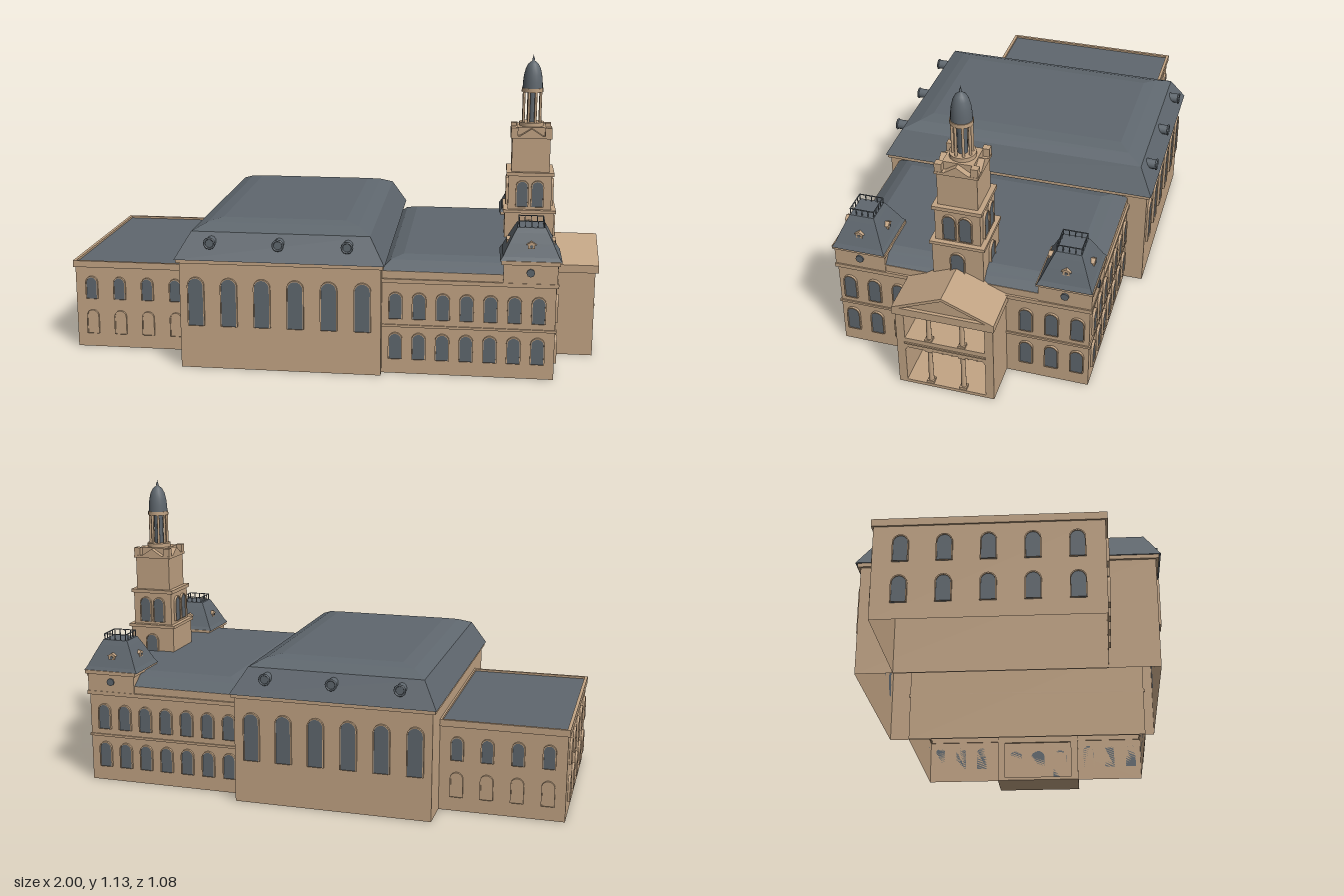
import * as THREE from 'three';

export function createModel() {
  const root = new THREE.Group();
  const sand = new THREE.MeshStandardMaterial({ color: 0xc2a484, side: THREE.DoubleSide });
  sand.name = 'sandstone';
  const slate = new THREE.MeshStandardMaterial({ color: 0x5f676e, side: THREE.DoubleSide });
  slate.name = 'slate';

  const add = (name, geo, mat, x = 0, y = 0, z = 0, ry = 0, parent = root) => {
    const m = new THREE.Mesh(geo, mat);
    m.name = name;
    m.position.set(x, y, z);
    m.rotation.y = ry;
    parent.add(m);
    return m;
  };
  // Solid box from its limits
  const box = (name, x0, x1, y0, y1, z0, z1, mat = sand) =>
    add(name, new THREE.BoxGeometry(x1 - x0, y1 - y0, z1 - z0), mat, (x0 + x1) / 2, (y0 + y1) / 2, (z0 + z1) / 2);
  // Walls with a ceiling and no floor
  const walls = (name, ...lim) => {
    const m = box(name, ...lim), g = m.geometry;
    g.setIndex([...g.index.array].filter((_, i) => i < 18 || i >= 24));
    g.clearGroups();
  };
  const poly = (pts) => new THREE.Shape(pts.map((p) => new THREE.Vector2(...p)));
  const rect = (x0, x1, y0, y1) => [[x0, y0], [x1, y0], [x1, y1], [x0, y1]];
  const extrude = (shape, depth) => new THREE.ExtrudeGeometry(shape, { depth, bevelEnabled: false, curveSegments: 6 });
  // Rectangular ring running round a wall
  const rim = (name, x0, x1, y0, y1, z0, z1, t) => {
    const s = poly(rect(x0, x1, -z1, -z0));
    s.holes.push(poly(rect(x0 + t, x1 - t, -z1 + t, -z0 - t)));
    add(name, extrude(s, y1 - y0).rotateX(-Math.PI / 2), sand, 0, y0);
  };
  // Hipped roof lofted through rectangles [y, x0, x1, z0, z1]
  const roof = (name, levels, mat = slate) => {
    const pos = [], idx = [];
    for (const [y, a, b, c, d] of levels) pos.push(a, y, d, b, y, d, b, y, c, a, y, c);
    for (let l = 0; l < levels.length - 1; l++)
      for (let i = 0; i < 4; i++) {
        const p = l * 4 + i, q = l * 4 + (i + 1) % 4;
        idx.push(p, q, q + 4, p, q + 4, p + 4);
      }
    const t = (levels.length - 1) * 4;
    idx.push(t, t + 1, t + 2, t, t + 2, t + 3, 0, 2, 1, 0, 3, 2);
    let g = new THREE.BufferGeometry();
    g.setAttribute('position', new THREE.Float32BufferAttribute(pos, 3));
    g.setIndex(idx);
    g = g.toNonIndexed();
    g.computeVertexNormals();
    return add(name, g, mat);
  };

  // Round-headed windows: ry turns them to face out of the wall
  const FRONT = 0, BACK = Math.PI, LEFT = Math.PI / 2, RIGHT = -Math.PI / 2;
  const arch = (w, h, C = THREE.Shape) => {
    const s = new C(), r = w / 2;
    s.moveTo(-r, 0);
    s.lineTo(r, 0);
    s.lineTo(r, h - r);
    s.absarc(0, h - r, r, 0, Math.PI, false);
    s.lineTo(-r, 0);
    return s;
  };
  const win = (x, y, z, ry, w, h, pane = slate) => {
    const g = new THREE.Group();
    g.name = 'window';
    g.position.set(x, y, z);
    g.rotation.y = ry;
    add('windowPane', extrude(arch(w, h), 0.005), pane, 0, 0, 0, 0, g);
    const ring = arch(w + 0.008, h + 0.004);
    ring.holes.push(arch(w, h, THREE.Path));
    add('windowFrame', extrude(ring, 0.009), sand, 0, 0, 0, 0, g);
    root.add(g);
  };
  const bothSides = (f) => { f(1); f(-1); };

  // Rear wing
  walls('rearWing', -0.993, -0.53, 0, 0.33, -0.39, 0.345);
  box('rearWingRoof', -0.99, -0.53, 0.33, 0.337, -0.385, 0.34, slate);
  rim('rearParapet', -1, -0.53, 0.32, 0.345, -0.397, 0.352, 0.012);
  for (let i = 0; i < 4; i++) {
    const x = -0.93 + i * 0.11;
    for (const [z, ry] of [[0.345, FRONT], [-0.39, BACK]]) {
      win(x, 0.195, z, ry, 0.04, 0.085);
      win(x, 0.055, z, ry, 0.04, 0.09, sand);
    }
  }
  for (let i = 0; i < 5; i++)
    for (const y of [0.055, 0.195]) win(-0.993, y, -0.3 + i * 0.139, RIGHT, 0.045, 0.088);

  // Great hall
  walls('hall', -0.535, 0.207, 0, 0.41, -0.522, 0.522);
  box('hallCornice', -0.545, 0.215, 0.402, 0.417, -0.533, 0.533);
  roof('hallRoof', [[0.416, -0.55, 0.22, -0.54, 0.54], [0.512, -0.495, 0.163, -0.485, 0.485],
    [0.535, -0.445, 0.115, -0.425, 0.425], [0.545, -0.395, 0.065, -0.385, 0.385]]);
  bothSides((s) => {
    for (let i = 0; i < 6; i++) win(-0.474 + i * 0.1228, 0.165, s * 0.522, s > 0 ? FRONT : BACK, 0.055, 0.18);
    for (let i = 0; i < 3; i++) {
      const x = -0.417 + i * 0.251;
      add('roundDormer', new THREE.CylinderGeometry(0.019, 0.019, 0.05, 12).rotateX(Math.PI / 2), slate, x, 0.48, s * 0.508);
      add('dormerRing', new THREE.TorusGeometry(0.019, 0.004, 6, 12), slate, x, 0.48, s * 0.533);
    }
  });

  // Front block, centred on z = 0.02
  const zc = 0.02;
  walls('frontBlock', 0.2, 0.83, 0, 0.388, zc - 0.468, zc + 0.468);
  rim('cornice', 0.2, 0.838, 0.345, 0.36, zc - 0.476, zc + 0.476, 0.01);
  rim('stringCourse', 0.2, 0.835, 0.178, 0.187, zc - 0.473, zc + 0.473, 0.01);
  roof('frontRoof', [[0.388, 0.2, 0.828, zc - 0.466, zc + 0.466], [0.418, 0.235, 0.795, zc - 0.42, zc + 0.42],
    [0.432, 0.28, 0.765, zc - 0.38, zc + 0.385]]);
  for (const y of [0.057, 0.21]) {
    for (let i = 0; i < 7; i++)
      bothSides((s) => win(0.257 + i * 0.0855, y, zc + s * 0.468, s > 0 ? FRONT : BACK, 0.044, 0.096));
    for (let i = 0; i < 3; i++)
      bothSides((s) => win(0.83, y, zc + s * (0.238 + i * 0.0935), LEFT, 0.043, 0.096));
  }

  // Corner pavilions with bell-shaped roofs and railings
  bothSides((s) => {
    const cx = 0.737, cz = zc + s * 0.378, h = 0.096;
    box('pavilion', cx - h, cx + h, 0.36, 0.438, cz - h, cz + h);
    rim('pavilionCornice', cx - 0.104, cx + 0.104, 0.428, 0.442, cz - 0.102, cz + 0.102, 0.01);
    roof('pavilionRoof', [[0.44, 0.11], [0.455, 0.1], [0.5, 0.078], [0.535, 0.06], [0.553, 0.05]]
      .map(([y, r]) => [y, cx - r, cx + r, cz - r * 0.9, cz + r * 0.9]));
    for (let k = 0; k < 4; k++) {
      const a = k * Math.PI / 2, dx = Math.sin(a), dz = Math.cos(a);
      add('oculus', new THREE.CylinderGeometry(0.015, 0.015, 0.008, 8).rotateX(Math.PI / 2), slate,
        cx + dx * 0.098, 0.4, cz + dz * 0.098, a);
      add('dormer', extrude(poly([[-0.012, 0], [0.012, 0], [0.012, 0.012], [0.018, 0.014], [0, 0.025], [-0.018, 0.014], [-0.012, 0.012]]), 0.03),
        sand, cx + dx * 0.057, 0.485, cz + dz * 0.053, a);
      add('dormerPane', new THREE.CylinderGeometry(0.006, 0.006, 0.003, 8).rotateX(Math.PI / 2), slate,
        cx + dx * 0.087, 0.493, cz + dz * 0.083, a);
      const rail = new THREE.Group();
      rail.name = 'railing';
      rail.position.set(cx, 0.553, cz);
      rail.rotation.y = a;
      for (let i = 0; i < 4; i++)
        add('railPost', new THREE.BoxGeometry(0.003, 0.024, 0.003), slate, -0.044 + i * 0.022, 0.012, 0.044, 0, rail);
      add('railTop', new THREE.BoxGeometry(0.091, 0.003, 0.003), slate, 0, 0.023, 0.044, 0, rail);
      root.add(rail);
    }
  });

  // Portico, open to the front on two floors
  const pz = 0.033;
  const face = poly(rect(-0.178, 0.178, 0, 0.335));
  for (const [y0, y1] of [[0.013, 0.17], [0.212, 0.325]])
    face.holes.push(poly([[-0.147, y0], [0.147, y0], [0.147, y1 - 0.012], [0.138, y1], [-0.138, y1], [-0.147, y1 - 0.012]]));
  add('porticoFace', extrude(face, 0.02), sand, 0.968, 0, pz, LEFT);
  bothSides((s) => box('porticoSide', 0.82, 0.97, 0, 0.335, pz + s * 0.1625 - 0.0155, pz + s * 0.1625 + 0.0155));
  for (const [y0, y1] of [[0, 0.013], [0.172, 0.21]]) box('porticoFloor', 0.82, 0.985, y0, y1, pz - 0.16, pz + 0.16);
  box('porticoBand', 0.96, 0.993, 0.188, 0.194, pz - 0.15, pz + 0.15);
  for (const [y0, y1] of [[0.013, 0.172], [0.21, 0.328]])
    bothSides((s) => {
      const z = pz + s * 0.061;
      add('column', new THREE.CylinderGeometry(0.008, 0.01, y1 - y0, 12), sand, 0.973, (y0 + y1) / 2, z);
      box('columnBase', 0.96, 0.986, y0, y0 + 0.01, z - 0.013, z + 0.013);
      box('columnCapital', 0.96, 0.986, y1 - 0.01, y1, z - 0.013, z + 0.013);
    });
  for (let i = -1; i < 2; i++) {
    win(0.83, 0.013, pz + i * 0.098, LEFT, 0.058, 0.122);
    win(0.83, 0.212, pz + i * 0.098, LEFT, 0.052, 0.1);
  }
  const gable = [[-0.185, 0.327], [0.185, 0.327], [0.185, 0.357], [0, 0.436], [-0.185, 0.357]];
  add('pediment', extrude(poly(gable), 0.168), sand, 0.82, 0, pz, LEFT);
  const raking = poly(gable);
  raking.holes.push(poly([[-0.155, 0.358], [0.155, 0.358], [0, 0.424]]));
  add('pedimentCornice', extrude(raking, 0.012), sand, 0.988, 0, pz, LEFT);

  // Clock tower without dials: three square stages
  const tx = 0.737, tz = 0.028;
  const stage = (name, r, y0, y1) => box(name, tx - r, tx + r, y0, y1, tz - r, tz + r);
  stage('towerBase', 0.093, 0.38, 0.535);
  stage('towerBaseCornice', 0.1, 0.53, 0.542);
  stage('belfry', 0.082, 0.54, 0.675);
  stage('belfryCornice', 0.09, 0.672, 0.686);
  stage('upperStage', 0.072, 0.685, 0.822);
  stage('upperCornice', 0.078, 0.815, 0.825);
  stage('upperAttic', 0.055, 0.82, 0.855);
  for (let k = 0; k < 4; k++) {
    const a = k * Math.PI / 2, dx = Math.sin(a), dz = Math.cos(a);
    if (k !== 3) win(tx + dx * 0.093, 0.4, tz + dz * 0.093, a, 0.046, 0.1);
    for (const o of [-0.029, 0.029]) win(tx + dx * 0.082 + dz * o, 0.553, tz + dz * 0.082 - dx * o, a, 0.041, 0.098);
    add('towerGable', extrude(poly([[-0.046, 0], [0.046, 0], [0, 0.03]]), 0.078), sand, tx, 0.823, tz, a);
    const c = a + Math.PI / 4, q = 0.064 * Math.SQRT2;
    add('cornerBlock', new THREE.BoxGeometry(0.026, 0.036, 0.026), sand, tx + Math.sin(c) * q, 0.838, tz + Math.cos(c) * q);
  }

  // Lantern, dome and finial
  const ring = (name, r, y0, y1, mat = sand, n = 16) =>
    add(name, new THREE.CylinderGeometry(r, r, y1 - y0, n), mat, tx, (y0 + y1) / 2, tz);
  ring('lanternBase', 0.047, 0.853, 0.87);
  ring('lanternCore', 0.018, 0.87, 0.987, slate);
  for (let i = 0; i < 8; i++) {
    const a = (i + 0.5) * Math.PI / 4;
    add('lanternColumn', new THREE.CylinderGeometry(0.005, 0.005, 0.12, 8), sand,
      tx + Math.sin(a) * 0.034, 0.928, tz + Math.cos(a) * 0.034);
  }
  ring('lanternCornice', 0.041, 0.985, 1.0);
  const dome = [[0.038, 1], [0.037, 1.025], [0.034, 1.05], [0.028, 1.075], [0.019, 1.092], [0.008, 1.101], [0.004, 1.104],
    [0.005, 1.11], [0.002, 1.118], [0, 1.128]];
  add('dome', new THREE.LatheGeometry(dome.map((p) => new THREE.Vector2(...p)), 20), slate, tx, 0, tz);

  return root;
}
